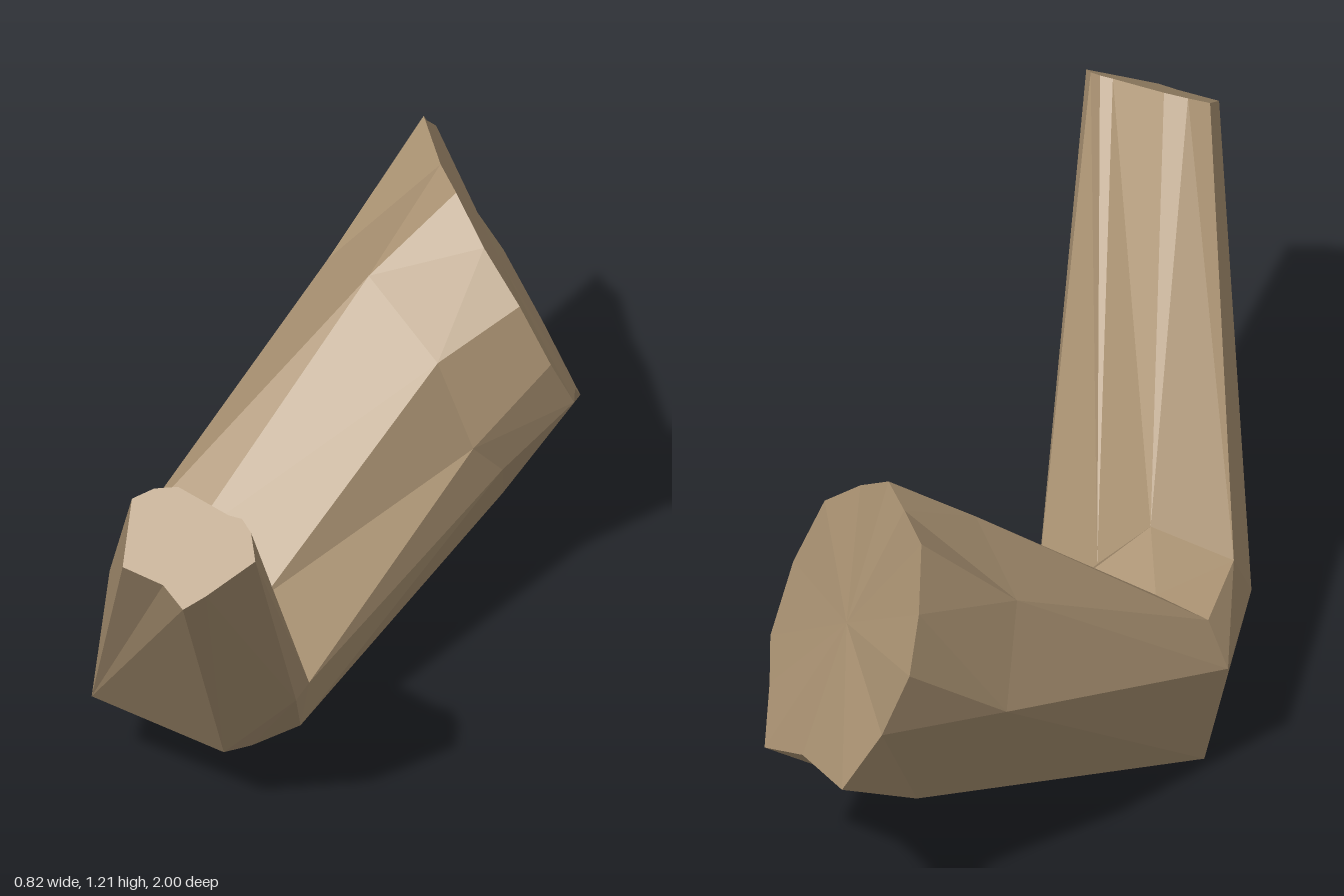
import * as THREE from 'three';

const V = (p) => new THREE.Vector3(...p);

// Faceted skin between a rear loop and a front loop; pairs give [rear, front] corner indices.
function loft(rear, front, pairs) {
  const tris = [];
  pairs.forEach(([a, b], i) => {
    const [a2, b2] = pairs[(i + 1) % pairs.length];
    tris.push([rear[a], rear[a2], front[b2]], [rear[a], front[b2], front[b]]);
  });
  return tris;
}

// Flat end: a fan around the middle of a loop.
function cap(loop, flip) {
  const c = [0, 1, 2].map((k) => loop.reduce((s, p) => s + p[k], 0) / loop.length);
  return loop.map((p, i) => {
    const q = loop[(i + 1) % loop.length];
    return flip ? [c, q, p] : [c, p, q];
  });
}

function toGeometry(tris) {
  const pos = [];
  for (const t of tris) {
    const [a, b, c] = t.map(V);
    if (b.sub(a).cross(c.sub(a)).length() > 1e-7) pos.push(...t.flat());
  }
  const g = new THREE.BufferGeometry();
  g.setAttribute('position', new THREE.Float32BufferAttribute(pos, 3));
  g.computeVertexNormals();
  return g;
}

export function createModel() {
  const wood = new THREE.MeshStandardMaterial({ color: 0xab9373, flatShading: true });
  wood.name = 'tan wood';

  // Loops run counter-clockwise seen from the front, starting at the bottom.
  const backEnd = [
    [0.34, 0.46, -0.76], [0.37, 0.555, -0.66], [0.41, 0.6, -0.56], [0.39, 0.75, -0.48],
    [0.33, 0.91, -0.45], [0.23, 1.01, -0.49], [0.14, 1.09, -0.55], [0.07, 1.09, -0.63],
    [-0.02, 1.11, -0.75], [-0.06, 1.01, -0.86], [-0.08, 0.92, -0.96], [-0.02, 0.75, -0.97],
    [0.06, 0.6, -1], [0.21, 0.55, -0.86],
  ];
  const backMiddle = [
    [0.235, 0.29, -0.58], [0.29, 0.46, -0.45], [0.26, 0.57, -0.36], [0.19, 0.8, -0.33],
    [0, 0.93, -0.4], [-0.15, 0.84, -0.53], [-0.18, 0.64, -0.66], [0.02, 0.36, -0.68],
  ];
  const bend = [
    [-0.06, 0, 0.1], [0.07, 0.12, 0.14], [0.09, 0.24, 0.14], [-0.03, 0.41, 0.1],
    [-0.23, 0.465, 0.05], [-0.36, 0.45, 0.03], [-0.41, 0.34, 0.02], [-0.33, 0.03, 0.08],
  ];
  const frontBase = [
    [0.01, 0.225, 0.42], [0.14, 0.34, 0.33], [0.09, 0.24, 0.14], [-0.05, 0.42, 0.155],
    [-0.17, 0.55, 0.165], [-0.34, 0.47, 0.22], [-0.34, 0.47, 0.22], [-0.31, 0.26, 0.39],
  ];
  // The front cut is a slanted plane, so depth follows from height.
  const frontEnd = [
    [0.16, 1.055], [0.2, 1.08], [0.28, 1.14], [0.25, 1.175], [0.22, 1.19], [0.19, 1.19],
    [0.06, 1.21], [0.01, 1.2], [-0.03, 1.18], [0, 1.09], [0.1, 1.08],
  ].map(([x, y]) => [x, y, 1 - (y - 1.055) * 1.355]);

  const straight = bend.map((_, i) => [i, i]);
  const toBackEnd = [0, 0, 1, 2, 3, 3, 4, 4, 5, 5, 6, 6, 7, 7].map((m, i) => [i, m]);
  const toFrontEnd = [0, 1, 2, 3, 3, 4, 4, 5, 6, 7, 7].map((m, i) => [m, i]);

  const parts = {
    backLimbTip: loft(backEnd, backMiddle, toBackEnd),
    backLimb: loft(backMiddle, bend, straight),
    elbow: loft(bend, frontBase, straight),
    frontLimb: loft(frontBase, frontEnd, toFrontEnd),
    backCutEnd: cap(backEnd, true),
    frontCutEnd: cap(frontEnd, false),
  };

  const group = new THREE.Group();
  group.name = 'bentBranch';
  for (const [name, tris] of Object.entries(parts)) {
    const mesh = new THREE.Mesh(toGeometry(tris), wood);
    mesh.name = name;
    group.add(mesh);
  }
  return group;
}
